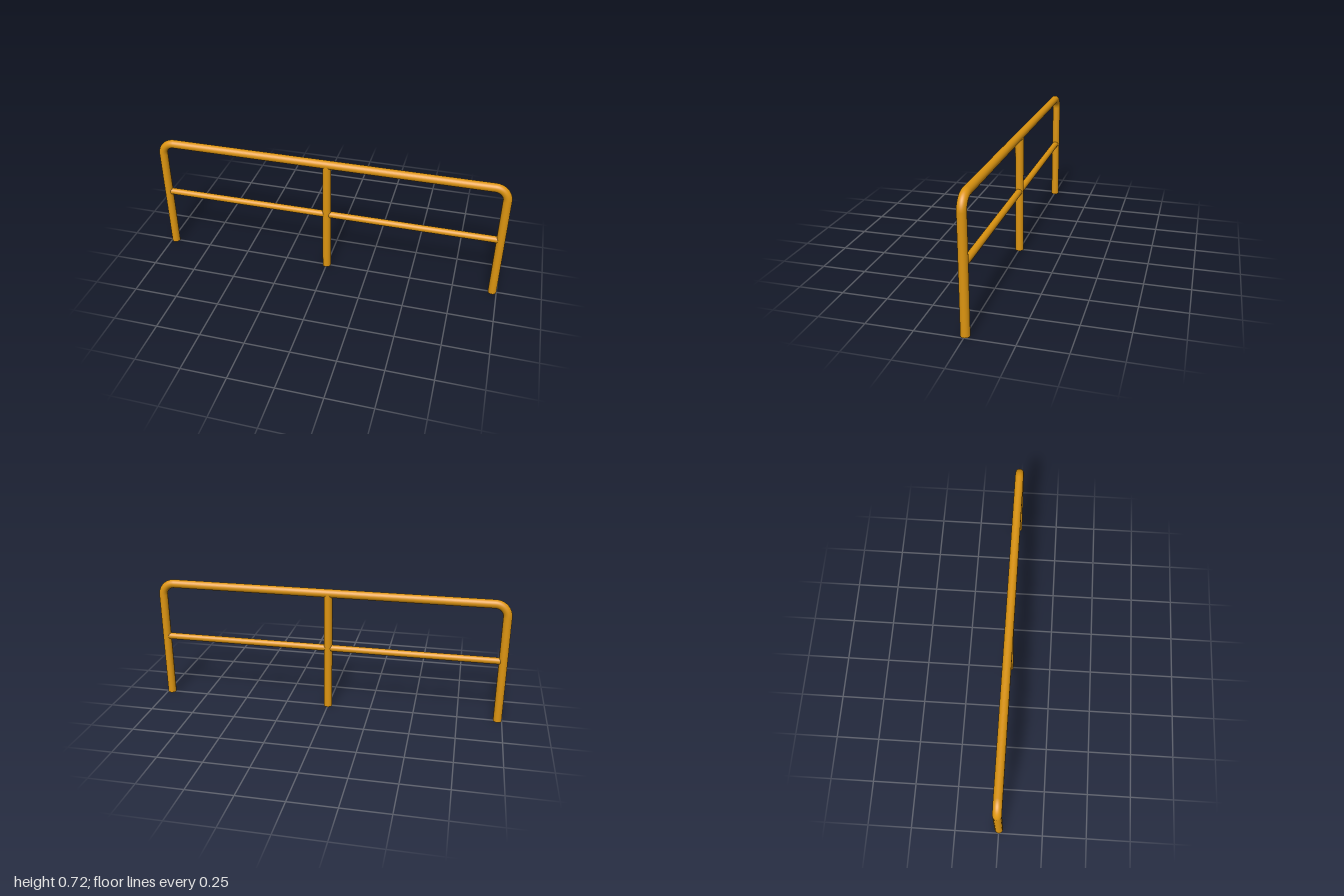
import * as THREE from 'three';

export function createModel() {
  const model = new THREE.Group();
  model.name = 'guardRail';
  const paint = new THREE.MeshStandardMaterial({ color: 0xdc9410 });
  paint.name = 'amber paint';

  const R = 0.024;            // main pipe radius
  const RAIL = 0.019;         // middle rail radius
  const BEND = 0.07;          // centreline radius of the corners
  const X = 1 - R;            // end post centreline
  const TOP = 0.716 - R;      // top rail centreline
  const MID = 0.366;          // middle rail centreline
  const SIDES = 32;

  const add = (name, geometry, x, y) => {
    const mesh = new THREE.Mesh(geometry, paint);
    mesh.name = name;
    mesh.position.set(x, y, 0);
    model.add(mesh);
    return mesh;
  };
  // Upright pipe standing on the ground, closed at the foot
  const post = (name, x, height) =>
    add(name, new THREE.CylinderGeometry(R, R, height, SIDES), x, height / 2);
  // Horizontal pipe along x
  const rail = (name, radius, length, y) =>
    add(name, new THREE.CylinderGeometry(radius, radius, length, SIDES).rotateZ(Math.PI / 2), 0, y);

  // End posts and the bent corners above them
  for (const side of [1, -1]) {
    const label = side > 0 ? 'left' : 'right';
    post(label + 'Post', side * X, TOP - BEND);
    const bend = new THREE.TorusGeometry(BEND, R, SIDES, 16, Math.PI / 2);
    if (side < 0) bend.rotateZ(Math.PI / 2);
    add(label + 'Bend', bend, side * (X - BEND), TOP - BEND);
  }

  // Centre post and the two horizontal rails
  post('centrePost', 0, TOP);
  rail('topRail', R, 2 * (X - BEND), TOP);
  rail('middleRail', RAIL, 2 * X, MID);

  return model;
}
